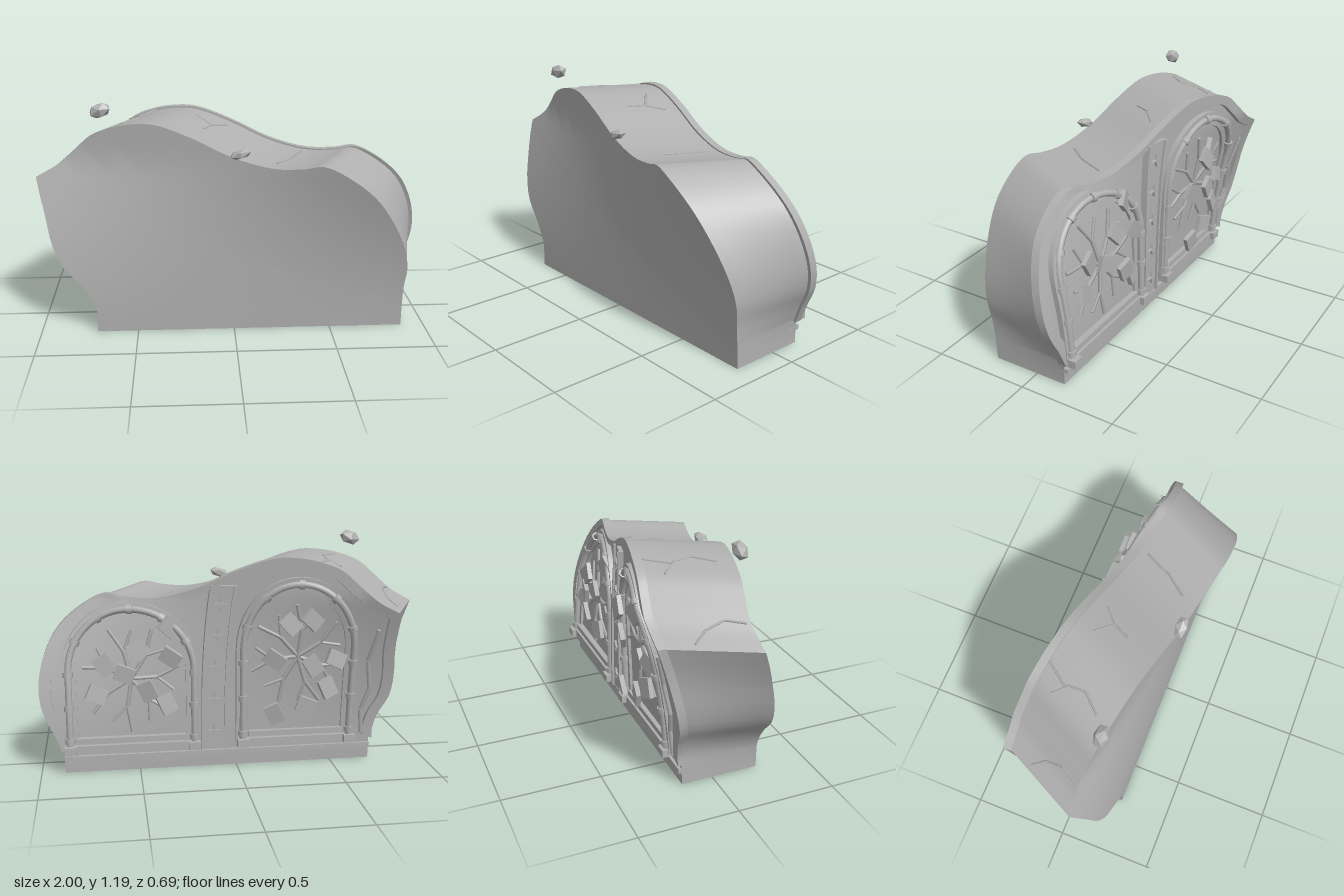
import * as THREE from 'three';
import { toCreasedNormals } from 'three/addons/utils/BufferGeometryUtils.js';

const stone = new THREE.MeshStandardMaterial({ color: 0xb0b0b0 });
stone.name = 'grey stone';
const V = (x, y, z) => new THREE.Vector3(x, y, z);
const CX = 0.1, CY = 0.45;

// Twisted, sheared space: t = 0 is the back face, t = 1 the front, d is height off the back
function warp(x, y, t, d = 0) {
  const k = THREE.MathUtils.clamp((y - 0.12) / 0.85, 0, 1);
  const wx = x - 0.21 * Math.sin(k * Math.PI / 2) * t;
  const slope = Math.min(0.25 * y * y, 0.2);
  return V(wx, y, -0.16 + 0.4 * t + 0.02 * y * (t * 2 - 1) + slope * wx - d);
}

// Outline of the back face, anticlockwise seen from the front
function outline() {
  const spline = (pts, n) => new THREE.CatmullRomCurve3(pts.map(p => V(p[0], p[1], 0)), false, 'centripetal').getPoints(n);
  const over = spline([[0.88, 0.12], [0.92, 0.22], [0.97, 0.33], [0.985, 0.45], [0.955, 0.6], [0.88, 0.74],
    [0.75, 0.85], [0.64, 0.9], [0.55, 0.885], [0.4, 0.88], [0.2, 0.93], [0, 1.02], [-0.18, 1.08], [-0.3, 1.08],
    [-0.4, 1.06], [-0.5, 1.02], [-0.58, 0.95], [-0.68, 0.865], [-0.8, 0.8]], 72);
  const left = spline([[-0.8, 0.8], [-0.79, 0.62], [-0.8, 0.46], [-0.785, 0.35], [-0.735, 0.26], [-0.71, 0.18], [-0.71, 0.12]], 14);
  return [V(0.88, 0, 0), ...over, ...left.slice(1), V(-0.71, 0, 0)];
}
const profile = outline();
const scaled = (p, s) => [CX + (p.x - CX) * s, CY + (p.y - CY) * s];

function topHeight(x) {
  const top = profile.filter(p => p.y > 0.7);
  for (let i = 0; i < top.length - 1; i++) {
    const a = top[i], b = top[i + 1];
    if (x <= a.x && x >= b.x) return a.y + (b.y - a.y) * (a.x - x) / (a.x - b.x || 1);
  }
  return 0.9;
}

function meshGeometry(pos, idx) {
  const g = new THREE.BufferGeometry();
  g.setAttribute('position', new THREE.Float32BufferAttribute(pos, 3));
  g.setIndex(idx);
  return toCreasedNormals(g, 0.6);
}

// Solid block: rings growing over the back, along the sides, shrinking over the front
function bodyGeometry() {
  const rows = [];
  for (let i = 0; i <= 8; i++) rows.push([i / 8, 0]);
  for (let i = 1; i <= 6; i++) rows.push([1, i / 6]);
  for (let i = 7; i >= 0; i--) rows.push([i / 8, 1]);
  const pos = [], idx = [], n = profile.length;
  for (const [s, t] of rows) for (const p of profile) pos.push(...warp(...scaled(p, s), t).toArray());
  for (let j = 0; j < rows.length - 1; j++) for (let i = 0; i < n; i++) {
    const k = (i + 1) % n, a = j * n + i, b = j * n + k;
    idx.push(a, b, b + n, a, b + n, a + n);
  }
  return meshGeometry(pos, idx);
}

// Raised band on the back between two matching paths, from height d0 to d1
function band(outer, inner, d0, d1) {
  const pos = [], idx = [], last = (outer.length - 1) * 4;
  outer.forEach((o, j) => {
    for (const [p, d] of [[o, d0], [o, d1], [inner[j], d1], [inner[j], d0]]) pos.push(...warp(p[0], p[1], 0, d).toArray());
  });
  for (let j = 0; j < last; j += 4) for (let k = 0; k < 4; k++) {
    const a = j + k, b = j + (k + 1) % 4;
    idx.push(a, b, b + 4, a, b + 4, a + 4);
  }
  idx.push(0, 3, 2, 0, 2, 1, last, last + 1, last + 2, last, last + 2, last + 3);
  return meshGeometry(pos, idx);
}

function archPoints(a, inset = 0) {
  const pts = [], r = (a.x1 - a.x0) / 2 - inset, c = (a.x0 + a.x1) / 2, h = a.top - a.spring - inset;
  for (let i = 0; i <= 5; i++) pts.push([c + r, 0.12 + (a.spring - 0.12) * i / 6]);
  for (let i = 0; i <= 20; i++) {
    const q = Math.PI * i / 20;
    pts.push([c + r * Math.cos(q), a.spring + h * Math.sin(q)]);
  }
  for (let i = 5; i >= 0; i--) pts.push([c - r, 0.12 + (a.spring - 0.12) * i / 6]);
  return pts;
}

export function createModel() {
  const model = new THREE.Group();
  const add = (name, geo, parent = model) => {
    const m = new THREE.Mesh(geo, stone);
    m.name = name;
    parent.add(m);
    return m;
  };
  const rod = (name, a, b, r, sides = 5, parent = model) => {
    const m = add(name, new THREE.CylinderGeometry(r, r, a.distanceTo(b), sides), parent);
    m.position.copy(a).add(b).multiplyScalar(0.5);
    m.quaternion.setFromUnitVectors(V(0, 1, 0), b.clone().sub(a).normalize());
  };
  const box = (name, x0, x1, y0, y1, zBack, parent = model) => {
    const m = add(name, new THREE.BoxGeometry(x1 - x0, y1 - y0, -0.12 - zBack), parent);
    m.position.set((x0 + x1) / 2, (y0 + y1) / 2, (zBack - 0.12) / 2);
  };

  add('body', bodyGeometry());

  // Raised rim around the back
  const edgePath = profile.filter(p => p.y > 0.08);
  add('rim', band(edgePath.map(p => scaled(p, 1.014)), edgePath.map(p => scaled(p, 0.95)), -0.02, 0.022));

  const arches = [
    { name: 'leftPanel', x0: 0.22, x1: 0.85, spring: 0.52, top: 0.83,
      slabs: [[0.34, 0.74], [0.5, 0.65], [0.34, 0.6], [0.67, 0.56], [0.71, 0.41], [0.46, 0.44], [0.57, 0.52], [0.36, 0.36]] },
    { name: 'rightPanel', x0: -0.59, x1: -0.03, spring: 0.62, top: 0.96,
      slabs: [[-0.37, 0.78], [-0.25, 0.77], [-0.18, 0.58], [-0.38, 0.54], [-0.5, 0.57], [-0.18, 0.3], [-0.35, 0.33], [-0.46, 0.42]] },
  ];

  arches.forEach((a, side) => {
    const g = new THREE.Group();
    g.name = a.name;
    model.add(g);

    // Stepped surround and flat inner trim
    add('archSurround', band(archPoints(a, -0.035), archPoints(a, 0.01), -0.01, 0.027), g);
    add('innerTrim', band(archPoints(a, 0.01), archPoints(a, 0.04), -0.01, 0.015), g);

    // Pipe frame with collars
    const curve = new THREE.CatmullRomCurve3(archPoints(a).map(p => warp(p[0], p[1], 0, 0.027)));
    add('pipeFrame', new THREE.TubeGeometry(curve, 64, 0.017, 8), g);
    for (let i = 0; i <= 10; i++) {
      const u = 0.03 + 0.094 * i, p = curve.getPointAt(u), dir = curve.getTangentAt(u).multiplyScalar(0.013);
      rod('collar', p.clone().sub(dir), p.clone().add(dir), 0.025, 8, g);
    }

    // Sill and pipe feet
    box('sill', a.x0, a.x1, 0.11, 0.15, -0.2, g);
    box('upperSill', a.x0 + 0.03, a.x1 - 0.03, 0.155, 0.185, -0.19, g);
    for (const x of [a.x0, a.x1]) box('pipeFoot', x - 0.03, x + 0.03, 0.11, 0.15, -0.225, g);

    // Branching cracks radiating from the middle
    const cx = (a.x0 + a.x1) / 2, cy = a.spring - 0.04;
    for (let i = 0; i < 7; i++) {
      const q = i * Math.PI * 2 / 7 + 0.3 + side * 0.4;
      const pt = (r, o) => warp(cx + Math.cos(q + o) * r, cy + Math.sin(q + o) * r * 1.1, 0, 0.006);
      rod('crack', pt(0, 0), pt(0.13, 0.1), 0.011, 5, g);
      rod('crack', pt(0.13, 0.1), pt(0.25, -0.08), 0.01, 5, g);
      rod('crackBranch', pt(0.13, 0.1), pt(0.22, 0.4), 0.008, 5, g);
    }

    // Broken slabs hovering off the panel
    a.slabs.forEach(([x, y], i) => {
      const s = add('slab', new THREE.BoxGeometry(0.1, 0.08, 0.024), g);
      s.position.copy(warp(x, y, 0, 0.035 + 0.02 * ((i * 3) % 4)));
      s.rotation.set(0.15 * Math.sin(i * 2.1), 0.25 * Math.cos(i * 1.7), 0.75 + 0.4 * Math.sin(i * 2.9));
    });
  });

  // Centre column with edge strips and four-pointed stars
  const right = [], left = [];
  for (let i = 0; i <= 12; i++) {
    const y = 0.1 + 0.85 * i / 12, lean = 0.06 * y * y * y;
    right.push([0.185 - lean, y]);
    left.push([0.055 - lean, y]);
  }
  const shift = (path, dx) => path.map(([x, y]) => [x + dx, y]);
  add('centreColumn', band(right, left, -0.01, 0.022));
  add('columnStrip', band(right, shift(right, -0.014), 0, 0.034));
  add('columnStrip', band(shift(left, 0.014), left, 0, 0.034));
  for (const y of [0.2, 0.37, 0.54, 0.7, 0.86]) {
    const pts = [];
    for (let i = 0; i < 8; i++) {
      const r = i % 2 ? 0.009 : 0.032, q = i * Math.PI / 4;
      pts.push(new THREE.Vector2(r * Math.cos(q), r * Math.sin(q)));
    }
    const star = add('star', new THREE.ExtrudeGeometry(new THREE.Shape(pts), { depth: 0.02, bevelEnabled: false }));
    star.position.copy(warp(0.12 - 0.06 * y * y * y, y, 0, 0.034));
  }

  // Base moulding along the foot of the back
  box('baseMoulding', -0.71, 0.88, 0.065, 0.09, -0.18);

  // Cracks over the top, given as x, z positions
  const onTop = ([x, z]) => {
    const t = THREE.MathUtils.clamp((z + 0.18 - 0.18 * x) / 0.43, 0.02, 0.98);
    const xb = x + 0.2 * t;
    return warp(xb, topHeight(xb), t);
  };
  const topCracks = [
    [[-0.84, -0.18], [-0.8, -0.1], [-0.8, 0], [-0.85, 0.08]],
    [[-0.53, -0.17], [-0.47, -0.1], [-0.47, -0.02], [-0.55, 0.07]],
    [[-0.39, -0.25], [-0.48, -0.12]],
    [[-0.18, -0.1], [-0.1, -0.03], [-0.14, 0.05]],
    [[-0.1, -0.03], [-0.02, -0.1]],
    [[0.37, -0.05], [0.3, 0.1], [0.22, 0.2]],
  ];
  for (const c of topCracks) for (let i = 0; i < c.length - 1; i++) rod('topCrack', onTop(c[i]), onTop(c[i + 1]), 0.006);

  // Crooked crack down the outer right edge of the back
  const edge = [[-0.71, 0.72], [-0.67, 0.55], [-0.69, 0.4], [-0.65, 0.28], [-0.66, 0.15]].map(p => warp(p[0], p[1], 0, 0.02));
  for (let i = 0; i < 4; i++) rod('edgeCrack', edge[i], edge[i + 1], 0.011);

  // Loose rocks, one floating and one resting on the front edge
  const rock = (name, x, y, z, height, spin) => {
    const m = add(name, new THREE.IcosahedronGeometry(0.042, 0));
    m.scale.set(1.4, height, 0.85);
    m.position.set(x, y, z);
    m.rotation.set(spin, spin * 0.5, 0.3);
  };
  rock('floatingRock', -0.66, 1.145, 0.13, 0.95, 0.3);
  rock('edgeRock', 0.03, 0.95, 0.265, 0.6, 0);

  return model;
}
